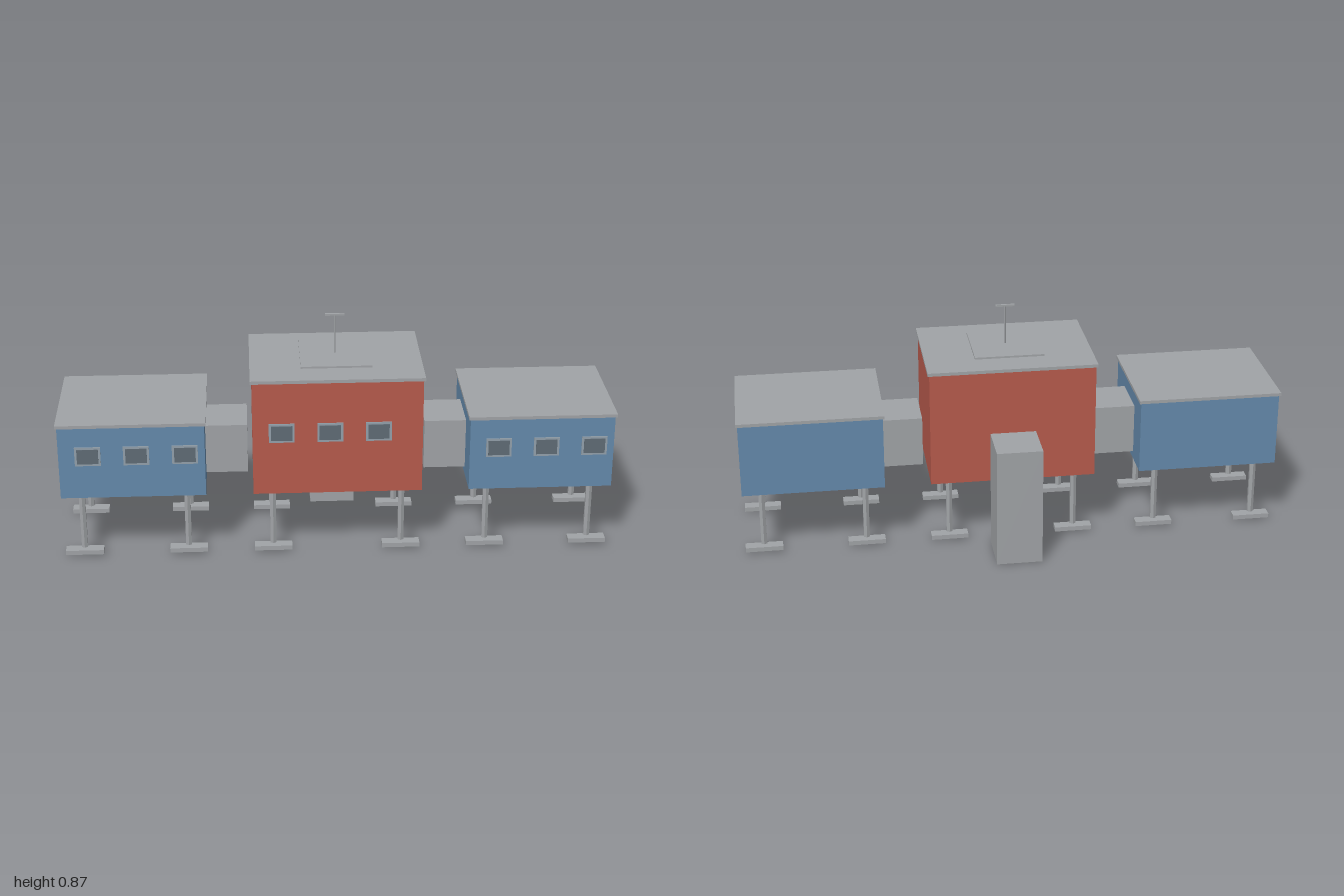
import * as THREE from 'three';

const mat = (name, color) => {
  const m = new THREE.MeshStandardMaterial({ color });
  m.name = name;
  return m;
};

export function createModel() {
  const blue = mat('blue wall', 0x6489ab);
  const red = mat('red wall', 0xb65a4c);
  const grey = mat('grey metal', 0xa0a3a6);
  const frameGrey = mat('window frame grey', 0x93a1ab);
  const glass = mat('dark glass', 0x5f6b75);

  const model = new THREE.Group();
  model.name = 'stiltStation';

  // box given by its minimum and maximum on each axis
  const box = (parent, name, material, [x0, x1], [y0, y1], [z0, z1]) => {
    const mesh = new THREE.Mesh(new THREE.BoxGeometry(x1 - x0, y1 - y0, z1 - z0), material);
    mesh.position.set((x0 + x1) / 2, (y0 + y1) / 2, (z0 + z1) / 2);
    mesh.name = name;
    parent.add(mesh);
    return mesh;
  };

  // six-sided stilt standing over a flat foot
  const postGeometry = new THREE.CylinderGeometry(0.0125, 0.0125, 0.226, 6);
  postGeometry.deleteAttribute('normal');
  const facetedPost = postGeometry.toNonIndexed();
  facetedPost.computeVertexNormals();
  const addLeg = (parent, x, z) => {
    const leg = new THREE.Group();
    leg.name = 'leg';
    leg.position.set(x, 0, z);
    const post = new THREE.Mesh(facetedPost, grey);
    post.name = 'post';
    post.position.y = 0.149;
    leg.add(post);
    box(leg, 'foot', grey, [-0.069, 0.069], [0.011, 0.028], [-0.02, 0.02]);
    parent.add(leg);
  };

  // framed window on the front wall
  const addWindow = (parent, x, y) => {
    const win = new THREE.Group();
    win.name = 'window';
    win.position.set(x, y, 0);
    box(win, 'windowFrame', frameGrey, [-0.046, 0.046], [-0.036, 0.036], [0.296, 0.302]);
    box(win, 'windowPane', glass, [-0.038, 0.038], [-0.028, 0.028], [0.298, 0.304]);
    parent.add(win);
  };

  // cabin with roof slab, stilts and a row of windows
  const addCabin = (name, material, x, half, top, windowY, windowXs, legXs) => {
    const cabin = new THREE.Group();
    cabin.name = name;
    cabin.position.x = x;
    box(cabin, 'walls', material, [-half, half], [0.26, top], [-0.133, 0.298]);
    box(cabin, 'roof', grey, [-half - 0.006, half + 0.006], [top, top + 0.012], [-0.14, 0.307]);
    for (const wx of windowXs) addWindow(cabin, wx, windowY);
    for (const lx of legXs) for (const z of [0.247, -0.081]) addLeg(cabin, lx, z);
    model.add(cabin);
  };

  addCabin('mainCabin', red, 0, 0.304, 0.692, 0.499, [-0.2, -0.027, 0.146], [-0.234, 0.234]);
  for (const [side, s] of [['left', 1], ['right', -1]]) {
    addCabin(`${side}Cabin`, blue, s * 0.734, 0.26, 0.536, 0.424, [-0.156, 0.016, 0.189], [-0.19, 0.19]);
    // passage linking the cabins
    const ends = [s * 0.322, s * 0.475].sort((a, b) => a - b);
    box(model, `${side}Passage`, grey, ends, [0.288, 0.475], [-0.018, 0.17]);
  }

  // entrance tower at the back
  box(model, 'entranceTower', grey, [-0.084, 0.084], [0.002, 0.45], [-0.305, -0.133]);

  // roof platform and mast
  box(model, 'roofPlatform', grey, [-0.128, 0.128], [0.709, 0.716], [-0.045, 0.212]);
  const mast = new THREE.Mesh(new THREE.CylinderGeometry(0.0035, 0.0035, 0.146, 6), grey);
  mast.name = 'mast';
  mast.position.set(0, 0.788, 0.084);
  model.add(mast);
  box(model, 'mastCrossbar', grey, [-0.035, 0.035], [0.86, 0.867], [0.08, 0.088]);

  return model;
}
